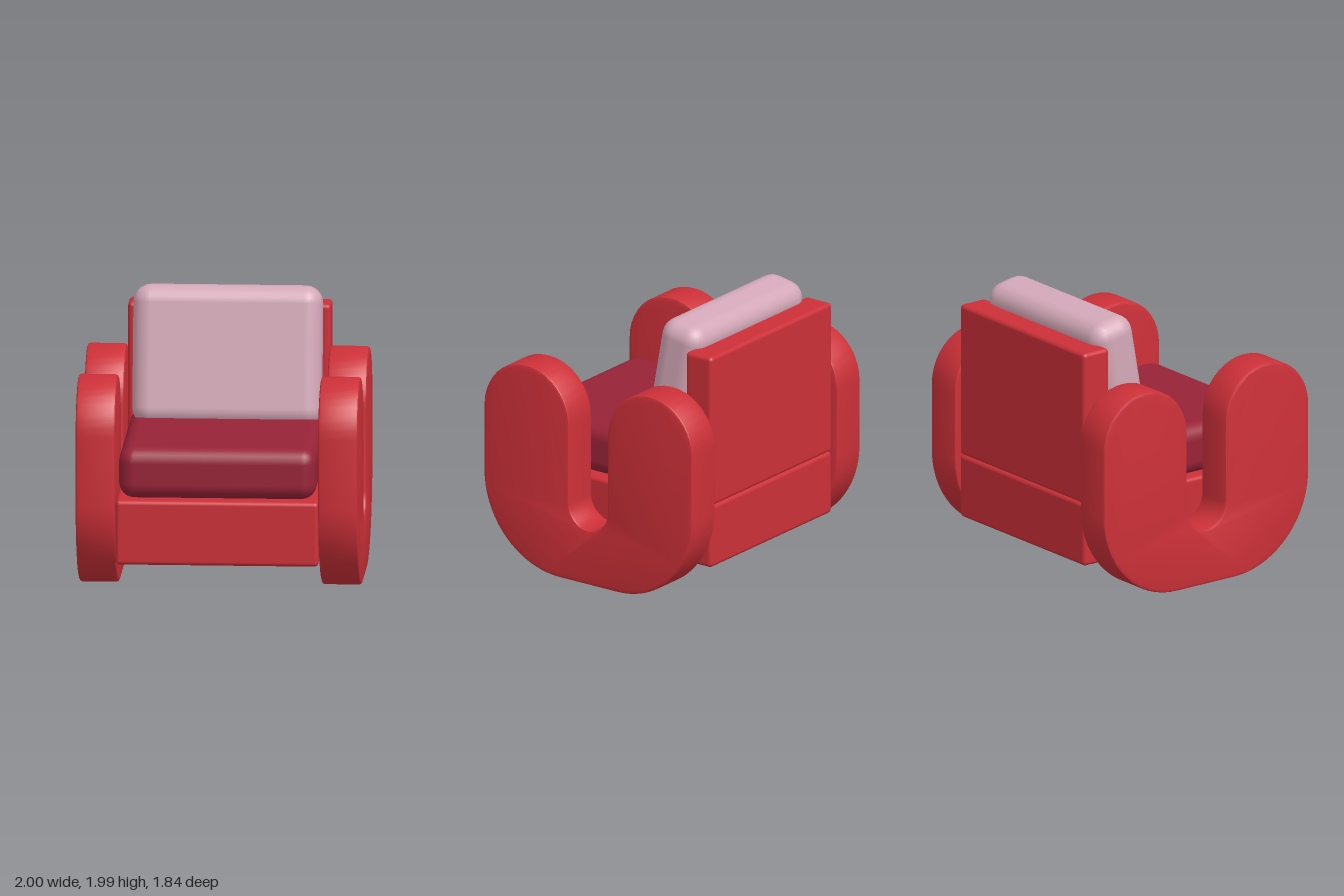
import * as THREE from 'three';
import { toCreasedNormals } from 'three/addons/utils/BufferGeometryUtils.js';
import { RoundedBoxGeometry } from 'three/addons/geometries/RoundedBoxGeometry.js';

const mat = (name, color) => new THREE.MeshStandardMaterial({ name, color });

function block(name, size, pos, radius, segments, material) {
  const mesh = new THREE.Mesh(new RoundedBoxGeometry(...size, segments, radius), material);
  mesh.name = name;
  mesh.position.set(...pos);
  return mesh;
}

// U-shaped side panel with two domed prongs and a round-bottomed slot
function armGeometry() {
  const outer = 0.92, slot = 0.17, bottomR = 0.67, slotY = 0.58;
  const domeR = (outer - slot) / 2, domeZ = (outer + slot) / 2, domeY = 1.54 - domeR;
  const s = new THREE.Shape();
  s.moveTo(-outer + bottomR, 0);
  s.lineTo(outer - bottomR, 0);
  s.absarc(outer - bottomR, bottomR, bottomR, -Math.PI / 2, 0, false);
  s.lineTo(outer, domeY);
  s.absarc(domeZ, domeY, domeR, 0, Math.PI, false);
  s.lineTo(slot, slotY);
  s.absarc(0, slotY, slot, 0, -Math.PI, true);
  s.lineTo(-slot, domeY);
  s.absarc(-domeZ, domeY, domeR, 0, Math.PI, false);
  s.lineTo(-outer, bottomR);
  s.absarc(-outer + bottomR, bottomR, bottomR, Math.PI, Math.PI * 1.5, false);
  const bevel = 0.02, width = 0.28;
  const geo = new THREE.ExtrudeGeometry(s, {
    depth: width - 2 * bevel, curveSegments: 10, bevelEnabled: true,
    bevelThickness: bevel, bevelSize: bevel, bevelOffset: -bevel, bevelSegments: 2,
  });
  geo.translate(0, 0, bevel - width / 2);
  geo.rotateY(Math.PI / 2);
  return toCreasedNormals(geo, 0.6);
}

export function createModel() {
  const red = mat('red upholstery', 0xcc3038);
  const wine = mat('dark red seat fabric', 0x982338);
  const pink = mat('pale pink fabric', 0xd4a8b8);
  const chair = new THREE.Group();
  chair.name = 'armchair';

  // Frame
  chair.add(block('base', [1.44, 0.465, 1.76], [0, 0.468, 0], 0.03, 3, red));
  chair.add(block('backPanel', [1.44, 1.12, 0.23], [0, 1.26, -0.767], 0.03, 3, red));

  // Cushions
  chair.add(block('seatCushion', [1.4, 0.37, 1.53], [0, 0.888, 0.095], 0.11, 3, wine));
  const back = block('backCushion', [1.34, 1.0, 0.36], [0, 1.485, -0.465], 0.125, 3, pink);
  back.rotation.x = -0.18;
  chair.add(back);

  // Mirrored arms
  const armGeo = armGeometry();
  for (const side of [1, -1]) {
    const arm = new THREE.Mesh(armGeo, red);
    arm.name = side > 0 ? 'leftArm' : 'rightArm';
    arm.position.x = side * 0.86;
    chair.add(arm);
  }
  return chair;
}
